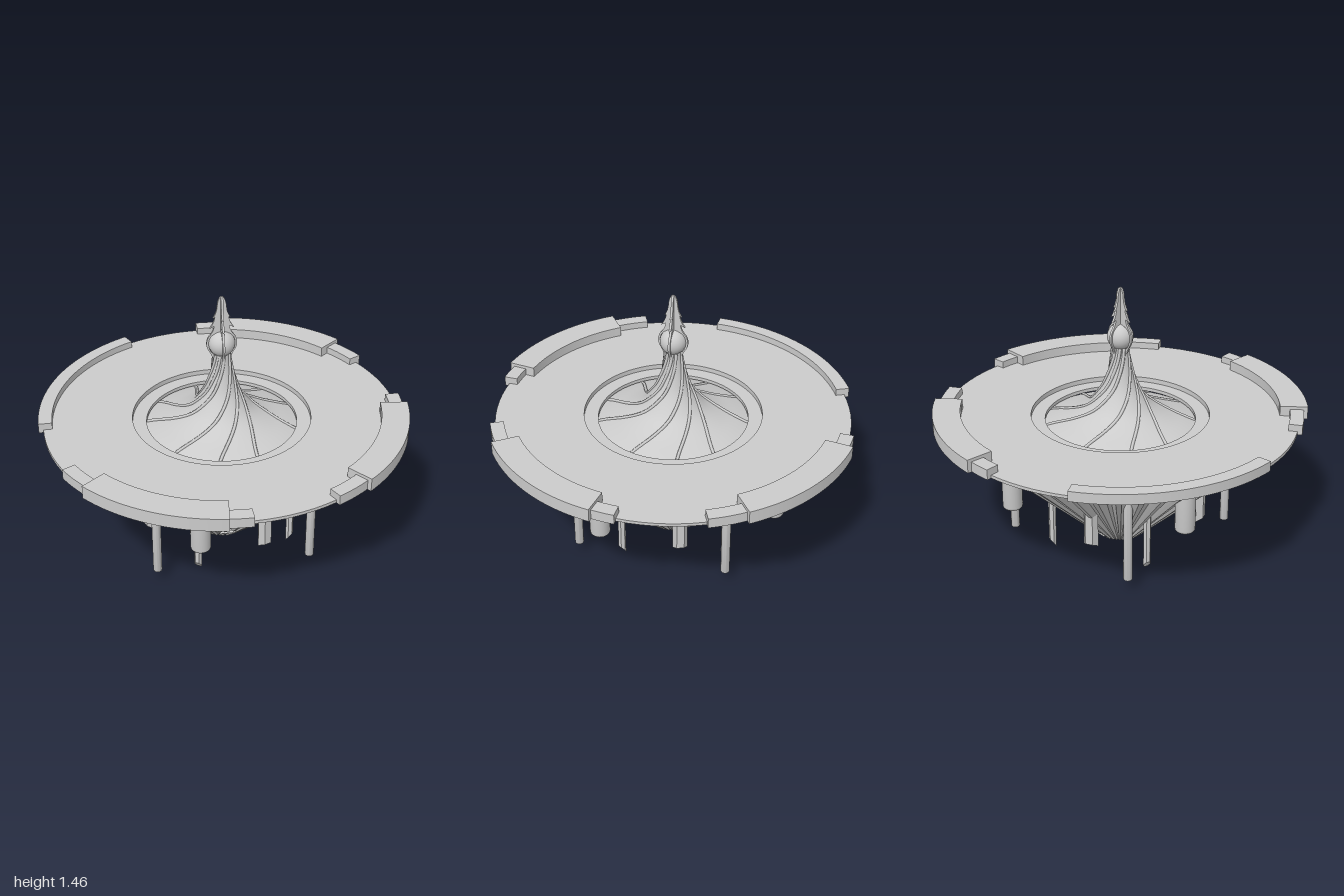
import * as THREE from 'three';
import { toCreasedNormals } from 'three/addons/utils/BufferGeometryUtils.js';

const V2 = (x, y) => new THREE.Vector2(x, y);
const smooth = new THREE.MeshStandardMaterial({ color: 0xcccccc });
const flat = new THREE.MeshStandardMaterial({ color: 0xcccccc, flatShading: true });
const open = new THREE.MeshStandardMaterial({ color: 0xcccccc, side: THREE.DoubleSide });
const rad = THREE.MathUtils.degToRad;

function add(parent, name, geometry, material = smooth) {
  const mesh = new THREE.Mesh(geometry, material);
  mesh.name = name;
  parent.add(mesh);
  return mesh;
}

function surface(positions, index) {
  const g = new THREE.BufferGeometry();
  g.setAttribute('position', new THREE.Float32BufferAttribute(positions, 3));
  g.setIndex(index);
  g.computeVertexNormals();
  return g;
}

// Raised block following the rim, angles in degrees from +x towards +z
function rimArc(inner, outer, from, to, bottom, top) {
  const s = new THREE.Shape();
  s.absarc(0, 0, outer, rad(from), rad(to), false);
  s.absarc(0, 0, inner, rad(to), rad(from), true);
  s.closePath();
  const g = new THREE.ExtrudeGeometry(s, { depth: top - bottom, bevelEnabled: false, curveSegments: 40 });
  g.rotateX(Math.PI / 2).translate(0, top, 0);
  return toCreasedNormals(g, 0.5);
}

// Hull cone: radius by height, and the arched passage cut through its foot
const hullRadius = (y) => 0.13 + (0.75 * (y - 0.03)) / 0.71;
const ARCH = { half: 0.0425, floor: 0.07, spring: 0.1375, top: 0.18 };
function archHalf(y) {
  if (y < ARCH.floor || y >= ARCH.top) return 0;
  if (y <= ARCH.spring) return ARCH.half;
  return Math.sqrt(Math.max(0, ARCH.half ** 2 - (y - ARCH.spring) ** 2));
}

function pleatedHull() {
  const pleats = 40, cols = pleats * 8;
  const rows = [0.03];
  for (let i = 0; i <= 16; i++) rows.push(ARCH.floor + (ARCH.top - ARCH.floor) * i / 16);
  rows.push(0.45, 0.74);
  const pos = [], inside = [], index = [];
  for (const y of rows) {
    for (let i = 0; i < cols; i++) {
      let a = (i / cols) * Math.PI * 2;
      const tri = Math.abs(2 * ((i % 8) / 8) - 1);
      const r = hullRadius(y) * (1 - 0.075 * THREE.MathUtils.clamp(2.5 * tri - 0.75, 0, 1));
      const h = archHalf(y);
      const within = Math.abs(r * Math.cos(a)) < h;
      if (within) {
        // slide the point sideways onto the edge of the arch
        const x = Math.cos(a) < 0 ? -h : h;
        pos.push(x, y, Math.sign(Math.sin(a)) * Math.sqrt(r * r - x * x));
      } else pos.push(r * Math.cos(a), y, r * Math.sin(a));
      inside.push(within);
    }
  }
  for (let j = 0; j < rows.length - 1; j++) {
    for (let i = 0; i < cols; i++) {
      const a = j * cols + i, b = j * cols + ((i + 1) % cols), c = a + cols, d = b + cols;
      if (inside[a] && inside[b] && inside[c] && inside[d]) continue;
      index.push(a, c, b, b, c, d);
    }
  }
  return surface(pos, index);
}

// Lining of the arched passage, ending on the hull
function passage() {
  const outline = [V2(-ARCH.half, ARCH.floor)];
  for (let i = 0; i <= 16; i++) {
    const a = Math.PI * (1 - i / 16);
    outline.push(V2(ARCH.half * Math.cos(a), ARCH.spring + ARCH.half * Math.sin(a)));
  }
  outline.push(V2(ARCH.half, ARCH.floor), V2(-ARCH.half, ARCH.floor));
  const pos = [], index = [];
  outline.forEach((p, i) => {
    const z = Math.sqrt((hullRadius(p.y) * 0.97) ** 2 - p.x ** 2);
    pos.push(p.x, p.y, z, p.x, p.y, -z);
    if (i) index.push(2 * i - 2, 2 * i - 1, 2 * i, 2 * i, 2 * i - 1, 2 * i + 1);
  });
  return toCreasedNormals(surface(pos, index), 0.6);
}

// Hexagonal crystal whose lower end is cut on a slant, lowest towards the axis (-x here)
function crystal(radius, bottom, top, slant) {
  const g = new THREE.CylinderGeometry(radius, radius, top - bottom, 6);
  g.translate(0, (top + bottom) / 2, 0);
  const p = g.attributes.position;
  for (let i = 0; i < p.count; i++) {
    if (p.getY(i) < bottom + 0.001) p.setY(i, bottom + (slant * (p.getX(i) + radius)) / (2 * radius));
  }
  return g;
}

// Rod with a softly rounded lower end
function roundRod(radius, bottom, top) {
  const e = radius * 0.35;
  const pts = [V2(0, bottom), V2(radius - e, bottom)];
  for (let i = 1; i <= 4; i++) {
    const a = (i / 4) * Math.PI / 2;
    pts.push(V2(radius - e + e * Math.sin(a), bottom + e - e * Math.cos(a)));
  }
  pts.push(V2(radius, top), V2(0, top));
  return toCreasedNormals(new THREE.LatheGeometry(pts, 24), 0.6);
}

// Four copies about the axis, the first at (x, z)
function aroundFour(parent, name, geometry, x, z, material) {
  for (let k = 0; k < 4; k++) {
    const a = Math.atan2(z, x) + (k * Math.PI) / 2, r = Math.hypot(x, z);
    const m = add(parent, name, geometry, material);
    m.position.set(r * Math.cos(a), 0, r * Math.sin(a));
    m.rotation.y = -a;
  }
}

export function createModel() {
  const root = new THREE.Group();
  root.name = 'floatingPlatform';
  const g = new THREE.Group();
  g.name = 'platform';
  g.position.x = -0.013;
  root.add(g);

  // Deck with a stepped recess around the spire
  const deck = [[0.48, 0.74], [0.955, 0.74], [0.955, 0.757], [0.48, 0.757], [0.48, 0.73],
    [0.405, 0.73], [0.405, 0.71], [0.48, 0.71], [0.48, 0.74]].map((p) => V2(...p));
  add(g, 'deck', toCreasedNormals(new THREE.LatheGeometry(deck, 96), 0.5));

  // Rim blocks: four low arcs, three of them with a larger block
  for (let k = 0; k < 4; k++) {
    const a = -90 + 90 * k;
    add(g, 'lowRim', rimArc(0.907, 0.98, a, a + 63.5, 0.74, 0.795));
    if (k < 3) add(g, 'highRim', rimArc(0.855, 1.003, a + 7, a + 52, 0.74, 0.812));
  }

  // Pleated hull beneath the deck
  add(g, 'hull', pleatedHull(), flat);
  add(g, 'passage', passage(), open);
  add(g, 'hullFloor', new THREE.CircleGeometry(0.129, 40).rotateX(Math.PI / 2).translate(0, 0.031, 0));

  // Hanging pods, rods and crystals
  aroundFour(g, 'pod', roundRod(0.053, 0.355, 0.69), 0.622, 0.21);
  aroundFour(g, 'rod', roundRod(0.024, 0.07, 0.54), 0.415, 0.415);
  aroundFour(g, 'wideCrystal', crystal(0.04, 0.16, 0.42, 0.045), 0.42, -0.164, flat);
  aroundFour(g, 'thinCrystal', crystal(0.021, 0, 0.34, 0.055), 0.353, 0.187, flat);

  // Flared spire
  const profile = new THREE.SplineCurve([[0.43, 0.695], [0.36, 0.72], [0.27, 0.752], [0.19, 0.795],
    [0.14, 0.845], [0.093, 0.92], [0.066, 1.0], [0.048, 1.08], [0.04, 1.15]].map((p) => V2(...p)));
  add(g, 'spire', new THREE.LatheGeometry(profile.getPoints(40), 64), open);

  // Ridges swirling up the spire in three groups of three
  for (let k = 0; k < 9; k++) {
    const end = [18, 71, 101][k % 3] + 120 * Math.floor(k / 3);
    const pts = [];
    for (let i = 0; i <= 24; i++) {
      const p = profile.getPoint(0.04 + 0.94 * i / 24);
      const a = rad(end - 33 * Math.pow(Math.max(0, Math.log(0.41 / p.x)), 1.45));
      pts.push(new THREE.Vector3(p.x * Math.cos(a), p.y, p.x * Math.sin(a)));
    }
    add(g, 'ridge', new THREE.TubeGeometry(new THREE.CatmullRomCurve3(pts), 48, 0.009, 6));
  }

  // Finial: ball held by four barbed blades
  add(g, 'ball', new THREE.SphereGeometry(0.07, 32, 20).translate(0, 1.197, 0));
  const blade = new THREE.Shape();
  blade.moveTo(0.036, 1.1);
  blade.lineTo(0.048, 1.11);
  blade.quadraticCurveTo(0.056, 1.14, 0.072, 1.162);
  blade.quadraticCurveTo(0.09, 1.2, 0.07, 1.238);
  blade.quadraticCurveTo(0.042, 1.27, 0.04, 1.3);
  blade.lineTo(0.064, 1.288);
  blade.quadraticCurveTo(0.04, 1.32, 0.036, 1.352);
  blade.lineTo(0.046, 1.347);
  blade.quadraticCurveTo(0.026, 1.375, 0.024, 1.42);
  blade.quadraticCurveTo(0.02, 1.455, 0.006, 1.466);
  blade.lineTo(0, 1.466);
  blade.lineTo(0, 1.265);
  blade.quadraticCurveTo(0.07, 1.26, 0.07, 1.197);
  blade.quadraticCurveTo(0.066, 1.15, 0.036, 1.13);
  blade.closePath();
  const bladeGeometry = toCreasedNormals(new THREE.ExtrudeGeometry(blade,
    { depth: 0.012, bevelEnabled: false, curveSegments: 8 }).translate(0, 0, -0.006), 0.5);
  for (let k = 0; k < 4; k++) add(g, 'finialBlade', bladeGeometry).rotation.y = (k * Math.PI) / 2;

  return root;
}
